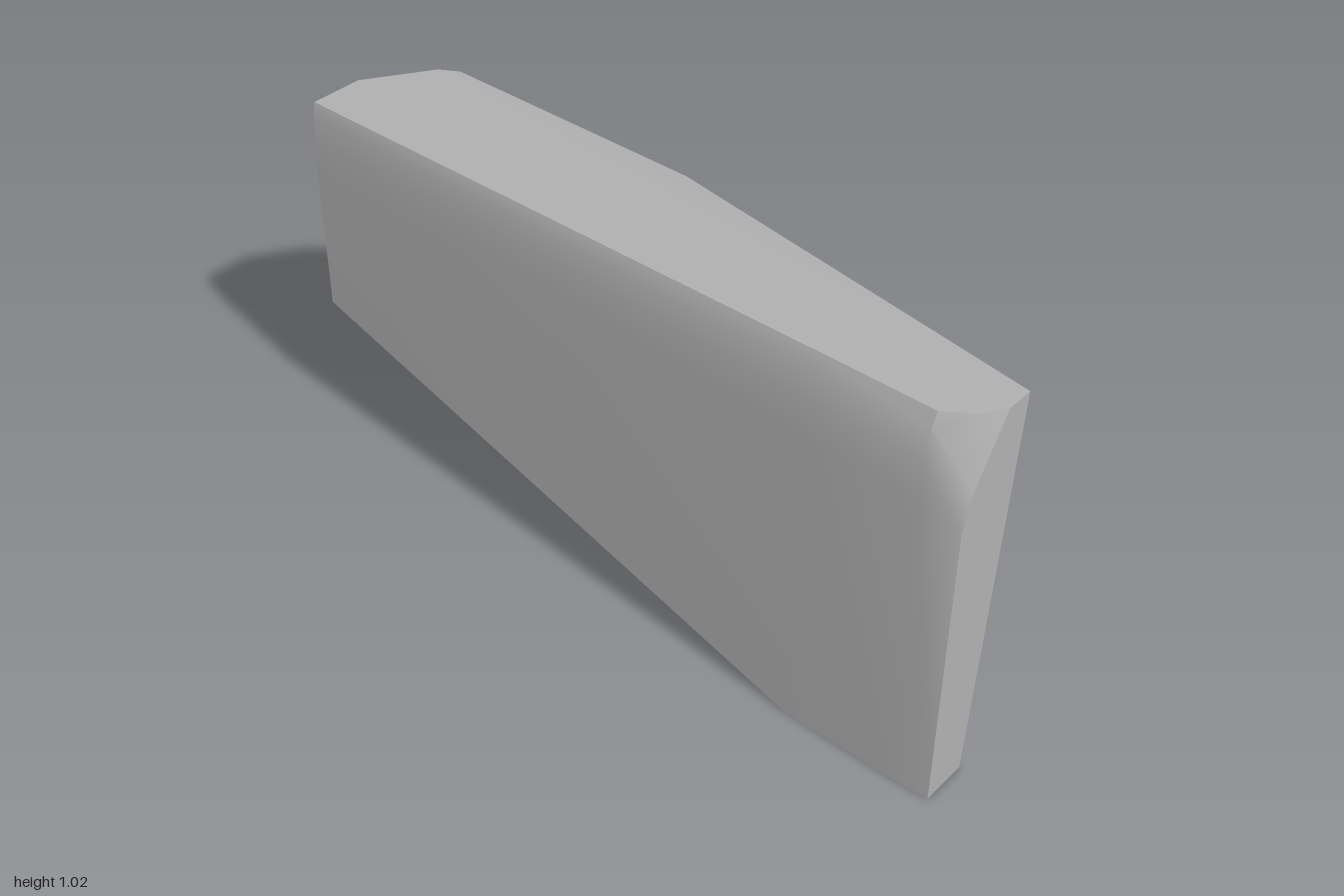
import * as THREE from 'three';
import { ConvexGeometry } from 'three/addons/geometries/ConvexGeometry.js';
import { toCreasedNormals } from 'three/addons/utils/BufferGeometryUtils.js';

export function createModel() {
  const group = new THREE.Group();
  group.name = 'taperedBlock';
  const grey = new THREE.MeshStandardMaterial({ color: 0xb0b0b0 });
  grey.name = 'plain grey';
  const points = [];
  const add = (x, y, z) => points.push(new THREE.Vector3(x, y, z));

  // Front face with a rounded upper edge: [x, bottom y, top y, front z, round depth]
  const stations = [
    [-1, 0.37, 0.965, 0.14, 0.015],
    [0.6, 0, 1.025, 0.218, 0.036],
    [0.9, 0, 1.025, 0.219, 0.037],
  ];
  const rounding = [[0.2, 0], [0.11, 0.15], [0.035, 0.55], [0, 1]];
  for (const [x, bottom, top, z, depth] of stations) {
    add(x, bottom, z);
    for (const [drop, inset] of rounding) add(x, top - drop, z - depth * inset);
  }

  // Tall end: its rounded front corner, then its back edge
  add(1, 0, 0.213);
  add(1, 0.78, 0.207);
  add(1, 0.87, 0.18);
  add(1, 1.025, 0.08);
  add(0.97, 1.025, 0.13);
  add(1, 1.025, 0.01);
  add(1, 0, 0.09);

  // Back bulge, upper and lower edges
  for (const x of [-0.84, -0.09]) {
    add(x, 0.965, -0.22);
    add(x, 0.745, -0.22);
  }
  add(0.6, 1.025, -0.015);
  add(0.6, 0, 0.09);

  // Short end with its clipped upper corner
  add(-0.89, 0.965, -0.19);
  add(-1, 0.965, -0.02);
  add(-1, 0.895, -0.11);
  add(-1, 0.37, 0);

  const body = new THREE.Mesh(toCreasedNormals(new ConvexGeometry(points), 0.56), grey);
  body.name = 'body';
  group.add(body);
  return group;
}
